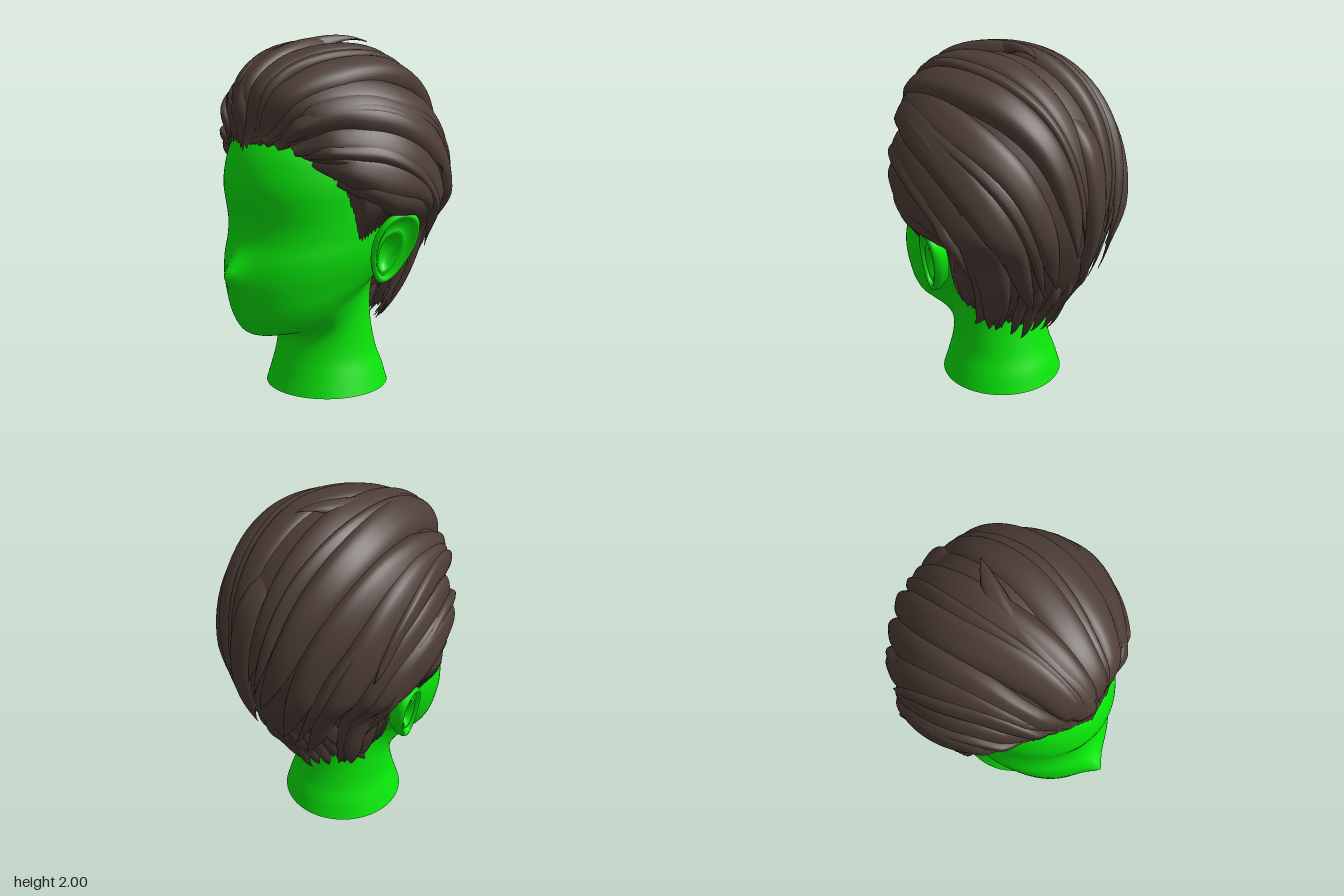
import * as THREE from 'three';

const V = (x, y, z) => new THREE.Vector3(x, y, z);
const { lerp, smoothstep } = THREE.MathUtils;
const C = V(0, 1.2, -0.03); // centre of the hair volume
let seed = 7;
const jitter = (a) => {
  seed = (seed * 16807) % 2147483647;
  return (seed / 2147483647 - 0.5) * 2 * a;
};

// Skin over closed rings of points
function loft(rows) {
  const n = rows[0].length, idx = [];
  for (let i = 0; i < rows.length - 1; i++) {
    for (let j = 0; j < n; j++) {
      const a = i * n + j, b = i * n + (j + 1) % n;
      idx.push(a, b, b + n, a, b + n, a + n);
    }
  }
  const g = new THREE.BufferGeometry().setFromPoints(rows.flat());
  g.setIndex(idx);
  g.computeVertexNormals();
  return g;
}

// Distance from C to the outer hair envelope along a unit direction
function reach(d) {
  let lo = 0.1, hi = 1.3;
  for (let i = 0; i < 22; i++) {
    const k = (lo + hi) / 2, x = d.x * k, y = d.y * k, z = d.z * k;
    const t = y > 0 ? y / 0.8 : y / 0.95;
    const rz = z > 0 ? 0.74 + 0.45 * Math.max(0, t - 0.45) : 0.7; // quiff in front
    const rx = 0.68 * (1 - 0.22 * (Math.max(0, z) / 0.7) ** 2)
      * (1 - 0.2 * smoothstep(-y, 0.05, 0.32)); // tucked in behind the ears
    const room = Math.max(0, 1 - t * t) ** (y > 0 ? 1 : 1.5);
    if ((x / rx) ** 2 + (z / rz) ** 2 < room) lo = k; else hi = k;
  }
  return lo;
}
const dirOf = (p) => p.clone().sub(C).normalize();
const depthOf = (p) => p.distanceTo(C) / reach(dirOf(p));
const onHair = (p, k = 1) => {
  const d = dirOf(p);
  return d.multiplyScalar(reach(d) * k).add(C);
};

// Head and neck: y at front, y at back, half width, z front, z back
const HEAD = [
  [0, 0, 0.355, 0.35, -0.36], [0.1, 0.1, 0.325, 0.32, -0.33],
  [0.2, 0.2, 0.295, 0.295, -0.29], [0.29, 0.36, 0.282, 0.28, -0.25],
  [0.34, 0.49, 0.28, 0.3, -0.24], [0.365, 0.58, 0.287, 0.37, -0.25],
  [0.375, 0.66, 0.303, 0.47, -0.27], [0.39, 0.73, 0.325, 0.55, -0.3],
  [0.43, 0.78, 0.352, 0.587, -0.35], [0.5, 0.82, 0.384, 0.615, -0.4],
  [0.6, 0.86, 0.415, 0.632, -0.45], [0.7, 0.9, 0.44, 0.64, -0.48],
  [0.8, 0.95, 0.457, 0.63, -0.5], [0.9, 1, 0.465, 0.605, -0.52],
  [1, 1.06, 0.47, 0.598, -0.53], [1.1, 1.12, 0.47, 0.615, -0.54],
  [1.2, 1.2, 0.47, 0.63, -0.54], [1.3, 1.3, 0.465, 0.62, -0.54],
  [1.4, 1.4, 0.45, 0.59, -0.52], [1.5, 1.5, 0.41, 0.53, -0.47],
  [1.6, 1.6, 0.34, 0.42, -0.38], [1.68, 1.68, 0.2, 0.25, -0.23],
  [1.7, 1.7, 0.01, 0.02, -0.02],
];
function headGeometry() {
  const spline = new THREE.CubicInterpolant(HEAD.map((_, i) => i), HEAD.flat(), 5);
  const rows = [];
  for (let i = 0; i <= (HEAD.length - 1) * 4; i++) {
    const [yf, yb, w, zf, zb] = [...spline.evaluate(i / 4)];
    rows.push(Array.from({ length: 120 }, (_, j) => {
      const a = j / 120 * Math.PI * 2, c = Math.cos(a);
      const x = w * Math.sin(a), y = lerp(yb, yf, (1 + c) / 2);
      // soft cone of the nose
      const r = Math.hypot(x / 0.085, (y - 0.75) / (y < 0.75 ? 0.13 : 0.09), 0.2);
      const nose = c > 0 ? 0.095 * Math.exp(1.3 * (0.2 - r)) : 0;
      return V(x, y, (zf + zb) / 2 + (zf - zb) / 2 * c + nose);
    }));
  }
  return loft(rows);
}

// Ear: a leaning dish, rings of [radius, height] from the hollow over the rim
function earGeometry(side) {
  const rings = [[0.001, -0.035], [0.3, -0.033], [0.42, -0.012], [0.5, 0.01], [0.6, 0.014], [0.7, 0],
    [0.78, 0.018], [0.86, 0.034], [0.94, 0.032], [1, 0.014], [0.97, -0.015], [0.7, -0.06]];
  return loft(rings.map(([r, h], i) => Array.from({ length: 48 }, (_, j) => {
    const a = j / 48 * Math.PI * 2 * side, hollow = i < 6 ? 1 : 0;
    const v = r * Math.sin(a) - 0.1 * hollow, u = -r * Math.cos(a) * (0.95 + 0.25 * v) - 0.12 * hollow;
    return V(side * (0.54 + 0.05 * u + 0.05 * v + 0.91 * h),
      0.885 + 0.2 * v, 0.005 - 0.116 * u - 0.035 * v + 0.41 * h);
  })));
}

// Hairline of the left half, from forehead round the ear to the nape
const HAIRLINE = [
  [0, 1.42, 0.595], [0.1, 1.46, 0.565], [0.2, 1.455, 0.525], [0.3, 1.415, 0.465],
  [0.38, 1.35, 0.39], [0.44, 1.24, 0.29], [0.46, 1.1, 0.22], [0.468, 0.94, 0.17],
  [0.48, 0.98, 0.1], [0.48, 1, 0], [0.46, 0.92, -0.07], [0.42, 0.7, -0.05],
  [0.31, 0.53, -0.07], [0.26, 0.48, -0.17], [0.13, 0.43, -0.245], [0, 0.41, -0.265],
].map((p) => V(...p));

// Scalp cap: columns rise from a jagged hairline to the crown
function capGeometry() {
  const half = new THREE.CatmullRomCurve3(HAIRLINE, false, 'centripetal').getPoints(110);
  const edge = [...half, ...half.slice(1, -1).reverse().map((p) => V(-p.x, p.y, p.z))];
  const up = V(0, 1, 0), rows = [];
  const cols = edge.map((p, i) => {
    const q = p.clone();
    q.y += i % 2 ? 0.012 + jitter(0.006) : -0.012 + jitter(0.01);
    return { d: dirOf(q), k: depthOf(q) };
  });
  for (let i = 0; i <= 40; i++) {
    const t = i / 40;
    rows.push(cols.map(({ d, k }) => {
      const ang = d.angleTo(up), s = Math.sin(ang);
      const e = d.clone().multiplyScalar(Math.sin((1 - t) * ang) / s)
        .addScaledVector(up, Math.sin(t * ang) / s).normalize();
      return e.multiplyScalar(reach(e) * lerp(k, 0.93, smoothstep(t, 0, 0.25))).add(C);
    }));
  }
  return loft(rows);
}

// Lock of hair: a bulged ribbon that hugs the envelope; its ends sit at their own depth
function lockGeometry(pts, width, peak, wave, lift = 0.14) {
  const curve = new THREE.CatmullRomCurve3(pts.map((p) => onHair(p)), false, 'centripetal');
  const k0 = depthOf(pts[0]), k1 = depthOf(pts[pts.length - 1]), rows = [];
  for (let i = 0; i <= 40; i++) {
    const s = i / 40, p = curve.getPointAt(s);
    const across = curve.getTangentAt(s).cross(dirOf(p)).normalize();
    const k = lerp(lerp(k0, peak, smoothstep(s, 0, lift)), k1, smoothstep(s, 0.65, 1));
    const w = width * Math.min(1, 0.3 + 2.6 * s) * Math.max(0.01, 1 - s ** 3.5);
    const d = 0.1 * (0.25 + 0.75 * smoothstep(s, 0, 0.2)) * (1 - 0.95 * smoothstep(s, 0.7, 1));
    p.addScaledVector(across, wave * Math.sin(s * Math.PI * 2));
    const ring = [onHair(p, k - d)];
    for (let f = -1; f < 1.01; f += 1 / 7) {
      ring.push(onHair(p.clone().addScaledVector(across, w * f),
        k - d * Math.abs(f) ** 3.5 + 0.3 * d * f * (1 - f * f)));
    }
    rows.push(ring);
  }
  return loft(rows);
}

// Guide paths of the left half, from the parting line down to the ear
const GUIDES = [
  [[0.03, 1.45, 0.58], [0.09, 1.9, 0.42], [0.12, 2, -0.05], [0.12, 1.75, -0.5], [0.06, 1.15, -0.69]],
  [[0.07, 1.46, 0.57], [0.24, 1.85, 0.35], [0.34, 1.85, -0.1], [0.3, 1.6, -0.5], [0.12, 0.98, -0.66]],
  [[0.12, 1.46, 0.56], [0.36, 1.72, 0.32], [0.5, 1.7, -0.1], [0.42, 1.4, -0.5], [0.18, 0.78, -0.57]],
  [[0.19, 1.46, 0.53], [0.45, 1.62, 0.27], [0.6, 1.55, -0.12], [0.5, 1.15, -0.45], [0.2, 0.6, -0.42]],
  [[0.27, 1.43, 0.48], [0.52, 1.48, 0.22], [0.66, 1.35, -0.15], [0.5, 0.9, -0.35], [0.25, 0.45, -0.24]],
  [[0.36, 1.38, 0.41], [0.58, 1.34, 0.15], [0.66, 1.18, -0.17], [0.45, 0.78, -0.28], [0.28, 0.42, -0.17]],
  [[0.43, 1.28, 0.31], [0.6, 1.24, 0.08], [0.58, 1.08, -0.2], [0.41, 0.68, -0.2], [0.3, 0.45, -0.1]],
].map((g) => g.map((p) => V(...p)));
// Short locks over them: width, depth, then the path
const SHORT = [
  [0.085, 1.01, [0.2, 1.46, 0.525], [0.47, 1.64, 0.22], [0.6, 1.52, -0.12], [0.62, 1.27, -0.3]],
  [0.07, 1.005, [0.32, 1.405, 0.45], [0.58, 1.4, 0.12], [0.64, 1.2, -0.15], [0.52, 0.85, -0.27]],
  [0.065, 0.92, [0.46, 1.14, 0.23], [0.56, 1.15, 0.08], [0.57, 1.07, -0.08], [0.47, 0.85, -0.2]],
];

export function createModel() {
  seed = 7;
  const group = new THREE.Group();
  const skin = new THREE.MeshStandardMaterial({ color: 0x0aee0a, name: 'green skin' });
  const hair = new THREE.MeshStandardMaterial({ color: 0x4d3d36, name: 'brown hair', side: THREE.DoubleSide });
  const add = (geometry, material, name) => {
    const mesh = new THREE.Mesh(geometry, material);
    mesh.name = name;
    group.add(mesh);
  };
  add(headGeometry(), skin, 'head');
  add(new THREE.CircleGeometry(0.355, 120).rotateX(Math.PI / 2).translate(0, 0, -0.005), skin, 'neckBase');
  add(earGeometry(1), skin, 'leftEar');
  add(earGeometry(-1), skin, 'rightEar');
  add(capGeometry(), hair, 'hairCap');

  // Broad swept locks on both sides, with a thinner one between some pairs
  for (const side of [1, -1]) {
    const name = side > 0 ? 'leftLock' : 'rightLock';
    for (const i of [0, 0.5, 1, 2, 2.5, 3, 4, 4.5, 5, 6]) {
      const a = GUIDES[Math.floor(i)], b = GUIDES[Math.ceil(i)], thin = i % 1 > 0;
      const pts = a.map((p, n) => {
        const q = p.clone().lerp(b[n], 0.5), loose = n > 0 && n < 4 ? 0.03 : 0.008;
        return V(side * q.x + jitter(loose), q.y + jitter(loose), q.z);
      });
      const peak = (i % 2 === 1 ? 1.005 : 0.985) + jitter(0.01);
      add(lockGeometry(pts, thin ? 0.075 : 0.15, peak, 0.03 + jitter(0.015)), hair, name);
    }
    for (const [width, depth, ...path] of SHORT) {
      add(lockGeometry(path.map(([x, y, z]) => V(side * x, y, z)), width, depth, 0.015), hair, name);
    }
  }
  // Crown lock with a flicked tip, and a lock down the middle of the back
  add(lockGeometry([V(-0.04, 1.45, 0.585), V(-0.13, 1.88, 0.42), V(-0.08, 2, 0.1), V(0.04, 1.965, -0.28)],
    0.13, 0.985, 0.03), hair, 'crownLock');
  add(lockGeometry([V(0, 1.8, -0.3), V(-0.03, 1.6, -0.55), V(0.02, 1.2, -0.7), V(0.03, 0.76, -0.59)],
    0.12, 0.99, 0.02, 0.4), hair, 'backLock');
  // Pointed locks along the nape, rising out from under the long ones
  for (let i = -5; i <= 5; i++) {
    const x = i * 0.06, e = (x / 0.27) ** 2;
    add(lockGeometry([V(x * 1.5, 1.1, -0.48), V(x * 1.5, 0.72, -0.45),
      V(x * 1.05 + jitter(0.015), 0.34 + 0.09 * e + jitter(0.03), -0.3 * Math.sqrt(1 - e * 0.75))],
    0.07, 0.965 + jitter(0.015), 0.01, 0.6), hair, 'napeLock');
  }
  return group;
}
